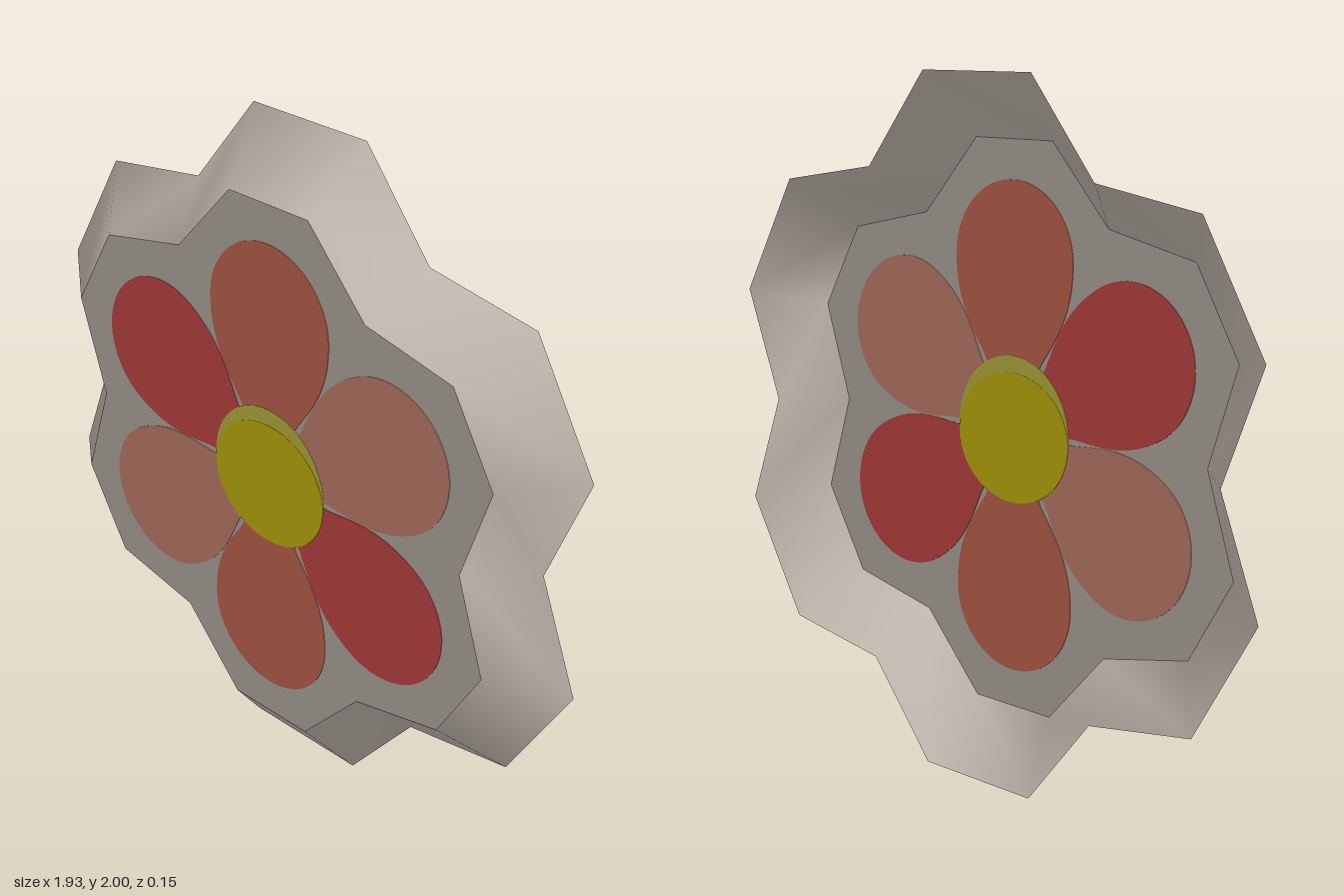
import * as THREE from 'three';

const HALF = 0.075; // half depth of the tray

function material(name, color, side = THREE.FrontSide) {
  const m = new THREE.MeshStandardMaterial({ color, side });
  m.name = name;
  return m;
}

// Six-lobed outline: a valley and two lobe corners every 60 degrees
function outline(valley, halfWidth, reach) {
  const points = [];
  const r = Math.hypot(halfWidth, reach), d = Math.atan2(halfWidth, reach);
  for (let k = 0; k < 6; k++) {
    const a = (k * Math.PI) / 3;
    const add = (rad, ang) => points.push(new THREE.Vector2(rad * Math.cos(ang), rad * Math.sin(ang)));
    add(valley, a);
    add(r, a + Math.PI / 6 - d);
    add(r, a + Math.PI / 6 + d);
  }
  return points;
}

// Sloping wall between the small front outline and the large back outline
function rimGeometry(front, back) {
  const n = front.length, positions = [], index = [];
  front.forEach((p) => positions.push(p.x, p.y, HALF));
  back.forEach((p) => positions.push(p.x, p.y, -HALF));
  for (let i = 0; i < n; i++) {
    const j = (i + 1) % n;
    index.push(n + i, n + j, j, n + i, j, i);
  }
  const g = new THREE.BufferGeometry();
  g.setAttribute('position', new THREE.Float32BufferAttribute(positions, 3));
  g.setIndex(index);
  g.computeVertexNormals();
  return g;
}

// Thin plate centred on the face, so it shows on both sides
function plate(shape, thickness) {
  const g = new THREE.ExtrudeGeometry(shape, { depth: thickness, bevelEnabled: false, curveSegments: 24 });
  return g.translate(0, 0, HALF - thickness / 2);
}

// Teardrop petal pointing along +x
function petalShape() {
  const s = new THREE.Shape();
  s.moveTo(0.08, -0.045);
  s.lineTo(0.2, -0.105);
  s.bezierCurveTo(0.28, -0.16, 0.35, -0.22, 0.483, -0.22);
  s.absarc(0.485, 0, 0.22, -Math.PI / 2, Math.PI / 2, false);
  s.bezierCurveTo(0.35, 0.22, 0.28, 0.16, 0.2, 0.105);
  s.lineTo(0.08, 0.045);
  s.closePath();
  return s;
}

function ellipse(cy, rx, ry) {
  const s = new THREE.Shape();
  s.absellipse(0, cy, rx, ry, 0, Math.PI * 2, false, 0);
  return s;
}

export function createModel() {
  const group = new THREE.Group();
  group.name = 'flowerTray';
  const stone = material('warm grey', 0xd2c8bd, THREE.DoubleSide);
  const petals = [
    material('pink', 0xe29581),
    material('coral', 0xe2775e),
    material('red', 0xe25252),
  ];
  const yellow = material('yellow', 0xe2d010);
  const paleYellow = material('pale yellow', 0xdcd24c);

  const add = (name, geometry, mat) => {
    const mesh = new THREE.Mesh(geometry, mat);
    mesh.name = name;
    mesh.position.y = 1;
    group.add(mesh);
    return mesh;
  };

  // Open-backed tray
  const inner = outline(0.685, 0.142, 0.815);
  const outer = outline(0.84, 0.2, 1.0);
  add('rim', rimGeometry(inner, outer), stone);
  add('face', new THREE.ShapeGeometry(new THREE.Shape(inner)).translate(0, 0, HALF), stone);

  // Petals, colours repeating every third one
  const petal = plate(petalShape(), 0.004);
  for (let i = 0; i < 6; i++) {
    add('petal' + (i + 1), petal, petals[i % 3]).rotation.z = Math.PI / 6 + (i * Math.PI) / 3;
  }

  // Flower centre with a pale crescent at its top
  add('centreHighlight', plate(ellipse(0.005, 0.208, 0.21), 0.006), paleYellow);
  add('centre', plate(ellipse(-0.02, 0.208, 0.187), 0.008), yellow);

  return group;
}
